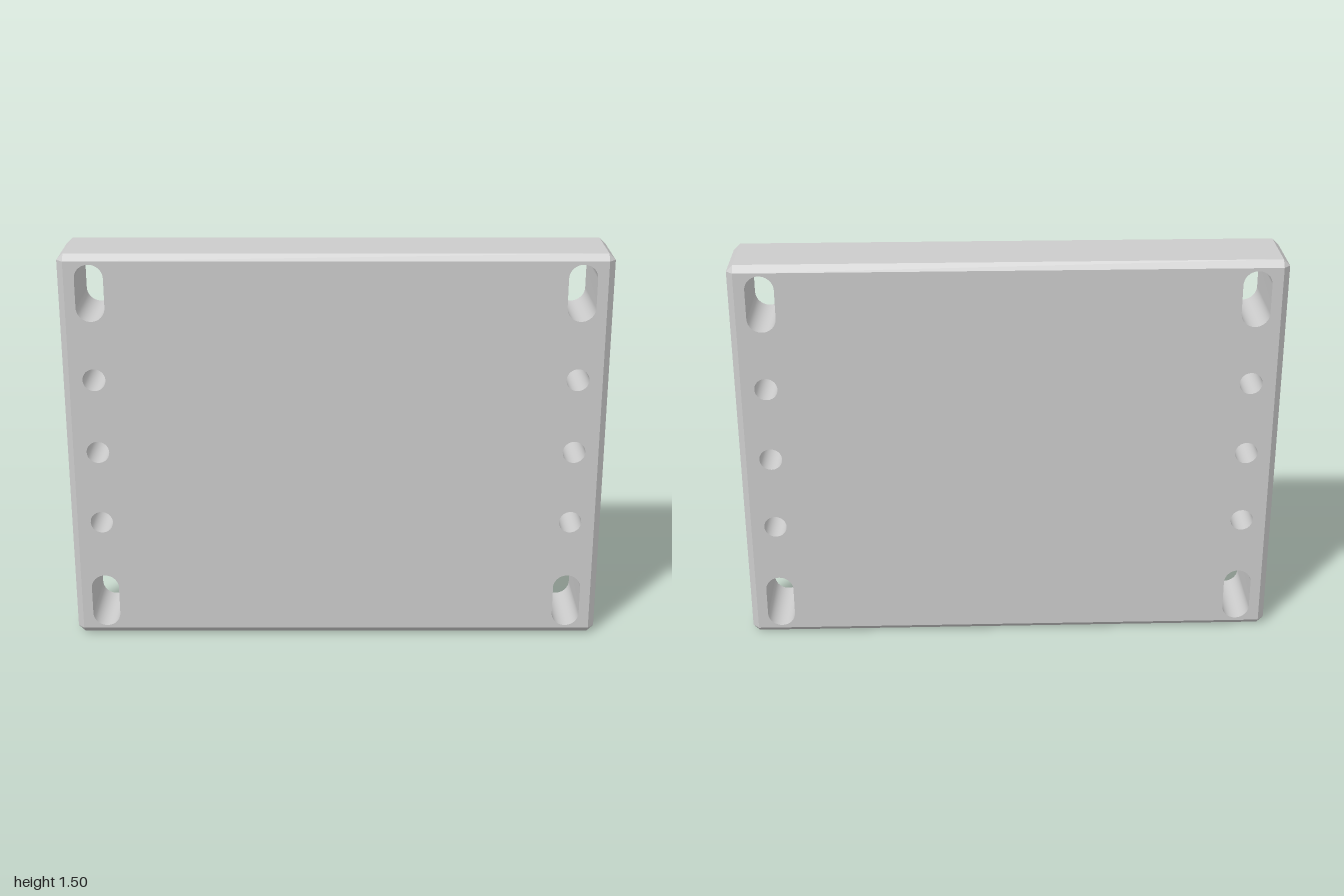
import * as THREE from 'three';

const W = 1, H = 1.505, D = 0.1415, C = 0.024; // half width, height, half depth, chamfer
const HOLE_X = 0.885, SLOT_R = 0.052, SLOT_HALF = 0.054, PIN_R = 0.042;

// Wall between successive rings; counter-clockwise rings from back to front face outward
function loft(rings) {
  const n = rings[0].length, index = [];
  const all = rings.flat();
  const tri = (a, b, c) => {
    const [A, B, E] = [all[a], all[b], all[c]];
    if (!A.equals(B) && !B.equals(E) && !E.equals(A)) index.push(a, b, c);
  };
  for (let r = 0; r < rings.length - 1; r++) {
    for (let i = 0; i < n; i++) {
      const j = (i + 1) % n, a = r * n + i, b = r * n + j;
      tri(a, b, b + n);
      tri(a, b + n, a + n);
    }
  }
  const geo = new THREE.BufferGeometry().setFromPoints(all);
  geo.setIndex(index);
  return geo;
}

// Rectangle with cut corners; edges pulled in by inset, corners cut by cut
function outline(inset, cut, z) {
  const x = W - inset, b = inset, t = H - inset;
  return [
    [-x + cut, b], [x - cut, b], [x, b + cut], [x, t - cut],
    [x - cut, t], [-x + cut, t], [-x, t - cut], [-x, b + cut],
  ].map(([px, py]) => new THREE.Vector3(px, py, z));
}

// Clockwise outline of a round hole (half = 0) or an upright slot
function holePoints(cx, cy, r, half) {
  const pts = [], n = 20;
  for (const [start, dy] of [[Math.PI, half], [0, -half]]) {
    for (let i = 0; i <= n; i++) {
      if (half === 0 && i === n) continue;
      const a = start - (i / n) * Math.PI;
      pts.push(new THREE.Vector2(cx + r * Math.cos(a), cy + dy + r * Math.sin(a)));
    }
  }
  return pts;
}

export function createModel() {
  const model = new THREE.Group();
  model.name = 'mountingBlock';
  const material = new THREE.MeshStandardMaterial({ color: 0xcccccc });
  const add = (name, geo) => {
    const mesh = new THREE.Mesh(geo, material);
    mesh.name = name;
    model.add(mesh);
    return mesh;
  };

  // Chamfered sides
  let rim = loft([
    outline(C, 0, -D), outline(0, C, -D + C), outline(0, C, D - C), outline(C, 0, D),
  ]).toNonIndexed();
  rim.computeVertexNormals();
  add('chamferedSides', rim);

  // Hole layout: a slot at each corner, three pin holes between
  const holes = [];
  for (const side of [-1, 1]) {
    for (const v of [-1, 1]) {
      holes.push({ name: 'slotWall', pts: holePoints(side * HOLE_X, H / 2 + v * 0.611, SLOT_R, SLOT_HALF) });
    }
    for (const k of [-1, 0, 1]) {
      holes.push({ name: 'pinHoleWall', pts: holePoints(side * HOLE_X, H / 2 + k * 0.283, PIN_R, 0) });
    }
  }

  // Inner walls of the holes
  for (const { name, pts } of holes) {
    const geo = loft([-D, D].map((z) => pts.map((p) => new THREE.Vector3(p.x, p.y, z))));
    geo.computeVertexNormals();
    add(name, geo);
  }

  // Pierced front and back faces
  const shape = new THREE.Shape([
    new THREE.Vector2(-W + C, C), new THREE.Vector2(W - C, C),
    new THREE.Vector2(W - C, H - C), new THREE.Vector2(-W + C, H - C),
  ]);
  shape.holes = holes.map(({ pts }) => new THREE.Path(pts));
  const face = new THREE.ShapeGeometry(shape).translate(0, 0, D);
  add('frontFace', face);
  add('backFace', face).rotation.y = Math.PI;

  return model;
}
